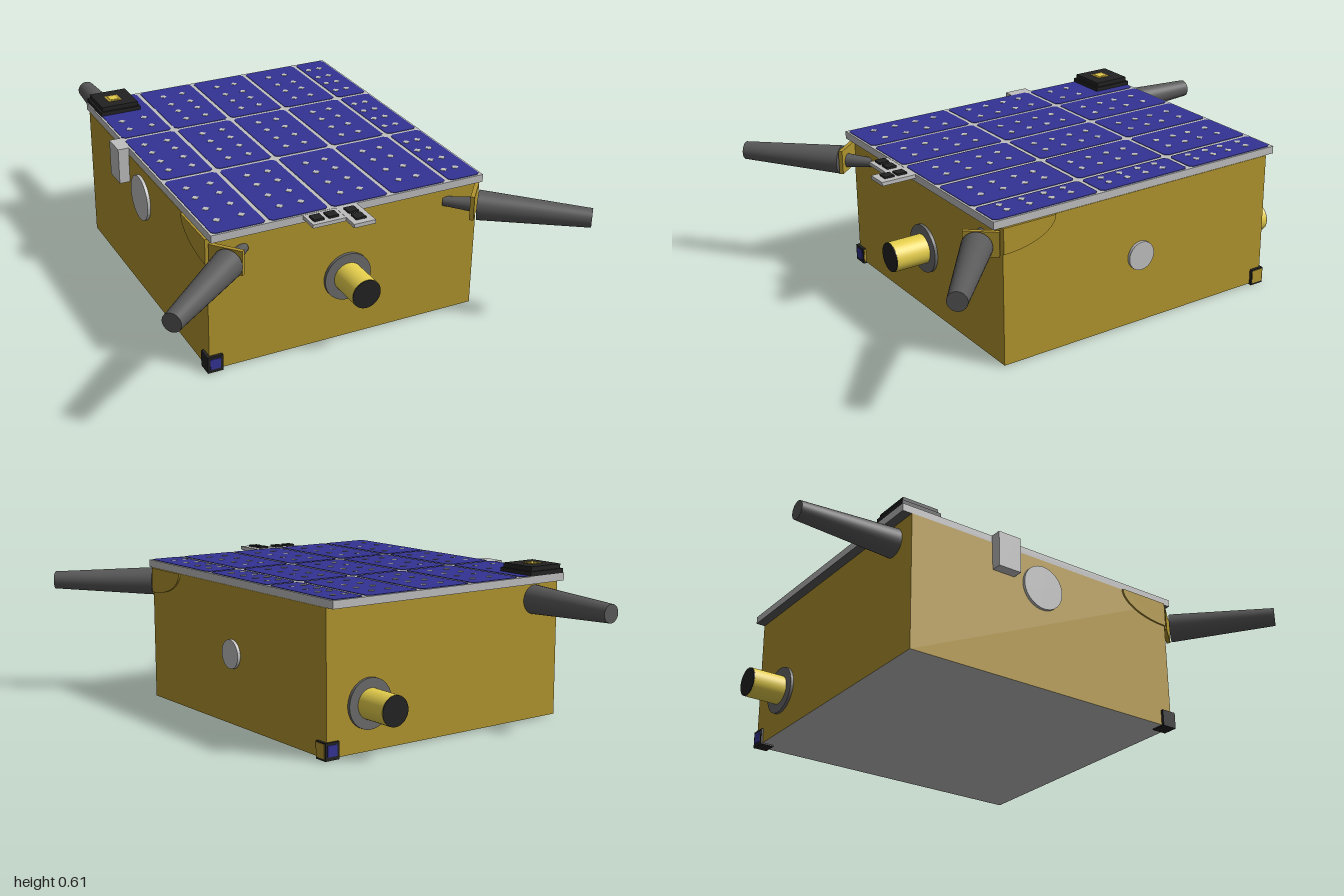
import * as THREE from 'three';

const mat = (name, color) => {
  const m = new THREE.MeshStandardMaterial({ color });
  m.name = name;
  return m;
};

export function createModel() {
  const foil = mat('gold foil', 0xb0942e);
  const brass = mat('bright gold', 0xe6cf4c);
  const silver = mat('silver', 0xbebebe);
  const grey = mat('dark grey', 0x595959);
  const ringGrey = mat('ring grey', 0x6a6a6a);
  const black = mat('black', 0x222222);
  const blue = mat('solar blue', 0x333394);

  const model = new THREE.Group();
  model.name = 'satellite';

  const add = (name, geometry, material) => {
    const mesh = new THREE.Mesh(geometry, material);
    mesh.name = name;
    model.add(mesh);
    return mesh;
  };
  // Box from its minimum and maximum corners
  const box = (name, a, b, material) => {
    const m = add(name, new THREE.BoxGeometry(b[0] - a[0], b[1] - a[1], b[2] - a[2]), material);
    m.position.set((a[0] + b[0]) / 2, (a[1] + b[1]) / 2, (a[2] + b[2]) / 2);
    return m;
  };
  // Round bar or cone between two points
  const rod = (name, a, b, r0, r1, material, sides = 32) => {
    const p = new THREE.Vector3(...a), q = new THREE.Vector3(...b);
    const m = add(name, new THREE.CylinderGeometry(r1, r0, p.distanceTo(q), sides), material);
    m.position.copy(p).add(q).multiplyScalar(0.5);
    m.quaternion.setFromUnitVectors(new THREE.Vector3(0, 1, 0), q.sub(p).normalize());
    return m;
  };

  // Body; its underside (box face 3) is bare silver
  box('body', [-0.555, 0.005, -0.6], [0.555, 0.545, 0.62], [foil, foil, foil, silver, foil, foil]);

  // Top deck with a dark underside
  box('deck', [-0.553, 0.545, -0.638], [0.553, 0.575, 0.655],
    [silver, silver, silver, grey, silver, silver]);

  // Solar cells with clipped corners
  const xs = [-0.553, -0.33, -0.085, 0.16, 0.405, 0.553];
  const zs = [-0.638, -0.22, 0.193, 0.655];
  const gap = 0.008, clip = 0.012;
  for (let i = 0; i < 5; i++) {
    for (let j = 0; j < 3; j++) {
      const x0 = xs[i] + gap, x1 = xs[i + 1] - gap;
      const z0 = -zs[j + 1] + gap, z1 = -zs[j] - gap;
      const s = new THREE.Shape();
      s.moveTo(x0 + clip, z0);
      s.lineTo(x1 - clip, z0);
      s.lineTo(x1, z0 + clip);
      s.lineTo(x1, z1 - clip);
      s.lineTo(x1 - clip, z1);
      s.lineTo(x0 + clip, z1);
      s.lineTo(x0, z1 - clip);
      s.lineTo(x0, z0 + clip);
      const g = new THREE.ExtrudeGeometry(s, { depth: 0.002, bevelEnabled: false });
      g.rotateX(-Math.PI / 2);
      add('solarCell', g, blue).position.y = 0.575;
    }
  }

  // Small diamond gaps scattered over the cells
  const diamond = new THREE.CylinderGeometry(0.015, 0.015, 0.002, 4);
  const dotX = [-0.49, -0.395, -0.245, -0.16, 0, 0.08, 0.245, 0.32, 0.44, 0.49];
  const dotZ = [-0.55, -0.46, -0.385, -0.3, -0.135, -0.055, 0.03, 0.115, 0.285, 0.37, 0.465, 0.56];
  for (const x of dotX) {
    for (const z of dotZ) {
      if (x < -0.38 && z < -0.45) continue;
      add('cellGap', diamond, silver).position.set(x, 0.5775, z);
    }
  }

  // Patch antenna on the rear right corner
  box('patchBase', [-0.548, 0.575, -0.638], [-0.378, 0.593, -0.468], black);
  box('patchTop', [-0.54, 0.593, -0.63], [-0.386, 0.611, -0.476], black);
  box('patchSquare', [-0.495, 0.611, -0.578], [-0.439, 0.6125, -0.522], foil);
  box('patchCentre', [-0.484, 0.6125, -0.567], [-0.45, 0.614, -0.533], brass);

  // Sun sensor plates on the front edge
  box('sensorPlateWide', [-0.2, 0.56, 0.65], [-0.07, 0.574, 0.735], silver);
  box('sensorPlateLong', [-0.07, 0.56, 0.65], [0.016, 0.575, 0.795], silver);
  for (const [x, z] of [[-0.167, 0.697], [-0.109, 0.697], [-0.029, 0.697], [-0.029, 0.75]]) {
    box('sensorWindow', [x - 0.02, 0.572, z - 0.02], [x + 0.02, 0.582, z + 0.02], black);
  }

  // Nozzles on the front and back faces
  const nozzle = (x, y, z, dir) => {
    rod('nozzleRing', [x, y, z], [x, y, z + dir * 0.012], 0.095, 0.095, ringGrey, 48);
    rod('nozzleTube', [x, y, z], [x, y, z + dir * 0.15], 0.058, 0.058, brass, 48);
    rod('nozzleOpening', [x, y, z + dir * 0.15], [x, y, z + dir * 0.153], 0.057, 0.057, black, 48);
  };
  nozzle(0.003, 0.262, 0.62, 1);
  nozzle(0.368, 0.182, -0.6, -1);

  // Front antennas, angled outwards
  for (const s of [-1, 1]) {
    const y = 0.477;
    rod('frontAntenna', [s * 0.51, y, 0.698], [s * 0.828, y, 0.968], 0.057, 0.036, grey);
    rod('antennaRoot', [s * 0.41, y, 0.613], [s * 0.495, y, 0.686], 0.018, 0.028, grey);
    const plate = add('antennaPlate', new THREE.BoxGeometry(0.13, 0.096, 0.016), foil);
    plate.position.set(s * 0.506, y + 0.007, 0.677);
    plate.rotation.y = s * Math.atan2(0.318, 0.27);

    // Quarter-ellipse foil pad on each flank
    const pad = new THREE.Shape();
    pad.moveTo(0, 0);
    pad.lineTo(0.22, 0);
    pad.absellipse(0, 0, 0.22, 0.1, 0, -Math.PI / 2, true);
    const g = new THREE.ExtrudeGeometry(pad, { depth: 0.007, bevelEnabled: false, curveSegments: 16 });
    g.rotateY(Math.PI / 2);
    add('flankPad', g, foil).position.set(s > 0 ? 0.555 : -0.562, 0.545, 0.62);
  }
  // Rear antenna
  rod('rearAntenna', [-0.435, 0.477, -0.6], [-0.435, 0.477, -1], 0.057, 0.036, grey);

  // Round covers and the hanging tab on the flanks
  rod('leftCover', [0.55, 0.282, 0.014], [0.567, 0.282, 0.014], 0.057, 0.057, silver, 40);
  rod('rightCover', [-0.55, 0.42, -0.01], [-0.567, 0.42, -0.01], 0.09, 0.09, silver, 40);
  box('sideTab', [-0.597, 0.43, -0.24], [-0.55, 0.575, -0.14], silver);

  // Corner sensors at two opposite bottom corners, gold on the left-facing side
  for (const [s, zIn, zOut] of [[-1, 0.57, 0.632], [1, -0.55, -0.608]]) {
    const x0 = Math.min(s * 0.505, s * 0.566), x1 = Math.max(s * 0.505, s * 0.566);
    const z0 = Math.min(zIn, zOut), z1 = Math.max(zIn, zOut);
    box('cornerSensor', [x0, 0, z0], [x1, 0.066, z1], black);
    const d = Math.sign(zOut) * 0.002;
    box('cornerSensorFace', [x0 + 0.01, 0.014, Math.min(zOut, zOut + d)],
      [x1 - 0.01, 0.056, Math.max(zOut, zOut + d)], blue);
    box('cornerSensorSide', [x1, 0.008, z0 + 0.004], [x1 + 0.002, 0.062, z1 - 0.004], foil);
  }
  return model;
}
